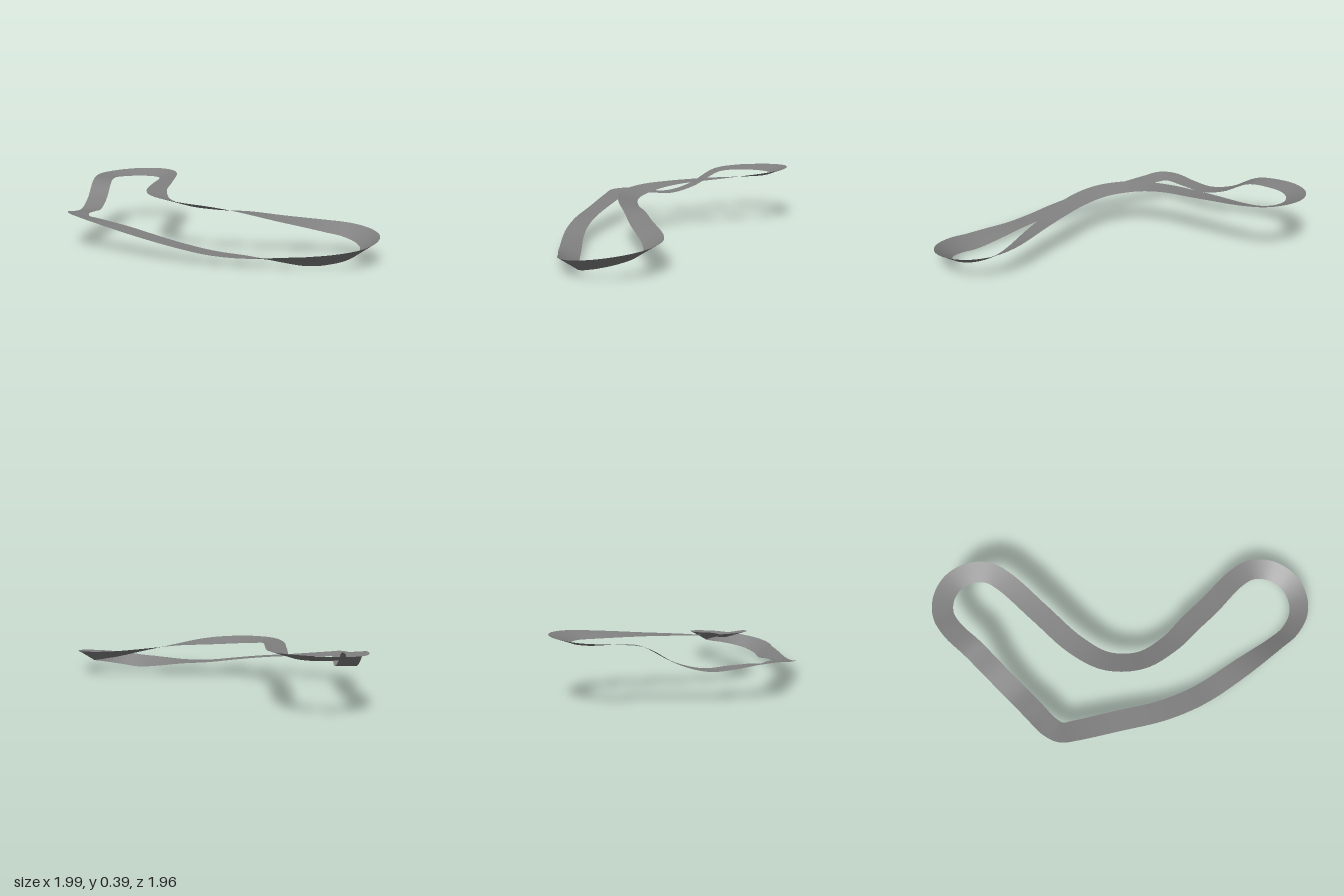
import * as THREE from 'three';

const WIDTH = 0.138;
const SEGMENTS = 320;

// Centre line in driving order: x, height, z, rise of the right edge over the left
const STATIONS = [
  [-0.93, 0.205, 0.2, 0.015], [-0.905, 0.2, 0.28, 0.025], [-0.835, 0.19, 0.335, 0.015],
  [-0.6, 0.155, 0.488, 0], [-0.355, 0.115, 0.645, 0], [-0.16, 0.082, 0.735, 0],
  [0, 0.058, 0.785, 0], [0.2, 0.045, 0.83, 0.01], [0.42, 0.038, 0.877, 0.055],
  // banked hairpin on the left end
  [0.55, 0.038, 0.903, 0.075], [0.68, 0.053, 0.922, 0.078], [0.81, 0.073, 0.89, 0.077],
  [0.9, 0.095, 0.8, 0.077], [0.935, 0.117, 0.67, 0.076], [0.9, 0.135, 0.54, 0.073],
  [0.81, 0.152, 0.45, 0.068], [0.68, 0.168, 0.417, 0.058],
  [0.4, 0.212, 0.419, 0.025], [0.2, 0.245, 0.413, 0],
  // sweeping bend, banked the other way
  [0, 0.268, 0.41, -0.033], [-0.22, 0.288, 0.35, -0.04], [-0.38, 0.307, 0.19, -0.03],
  [-0.44, 0.326, -0.03, -0.008], [-0.443, 0.342, -0.35, 0.008],
  // rear hairpin
  [-0.445, 0.354, -0.68, 0.036], [-0.476, 0.36, -0.8, 0.045], [-0.56, 0.363, -0.884, 0.05],
  [-0.68, 0.362, -0.918, 0.048], [-0.8, 0.358, -0.884, 0.04], [-0.883, 0.354, -0.8, 0.03],
  [-0.913, 0.352, -0.68, 0.02],
  // dip on the right straight
  [-0.911, 0.335, -0.5, 0.005], [-0.911, 0.23, -0.3, 0], [-0.914, 0.182, -0.12, 0],
  [-0.922, 0.19, 0.04, 0],
];

export function createModel() {
  const asphalt = new THREE.MeshStandardMaterial({ color: 0x808080, side: THREE.DoubleSide });
  asphalt.name = 'asphalt grey';

  const line = new THREE.CatmullRomCurve3(
    STATIONS.map(([x, y, z]) => new THREE.Vector3(x, y, z)), true, 'centripetal');
  const banking = new THREE.CatmullRomCurve3(
    STATIONS.map((s) => new THREE.Vector3(s[3], 0, 0)), true, 'catmullrom', 0.5);

  // Ribbon: a left and a right edge point at each step, joined into a closed loop
  const positions = [];
  const indices = [];
  for (let i = 0; i < SEGMENTS; i++) {
    const t = i / SEGMENTS;
    const c = line.getPoint(t);
    const dir = line.getTangent(t).setY(0).normalize();
    const rise = banking.getPoint(t).x;
    const half = Math.sqrt(WIDTH * WIDTH - rise * rise) / 2;
    for (const side of [-1, 1]) {
      positions.push(c.x - dir.z * half * side, c.y + rise / 2 * side, c.z + dir.x * half * side);
    }
    const a = i * 2;
    const b = ((i + 1) % SEGMENTS) * 2;
    indices.push(a, a + 1, b, a + 1, b + 1, b);
  }
  const geometry = new THREE.BufferGeometry();
  geometry.setAttribute('position', new THREE.Float32BufferAttribute(positions, 3));
  geometry.setIndex(indices);
  geometry.computeVertexNormals();

  const road = new THREE.Mesh(geometry, asphalt);
  road.name = 'roadSurface';
  const group = new THREE.Group();
  group.name = 'raceTrack';
  group.add(road);
  return group;
}
